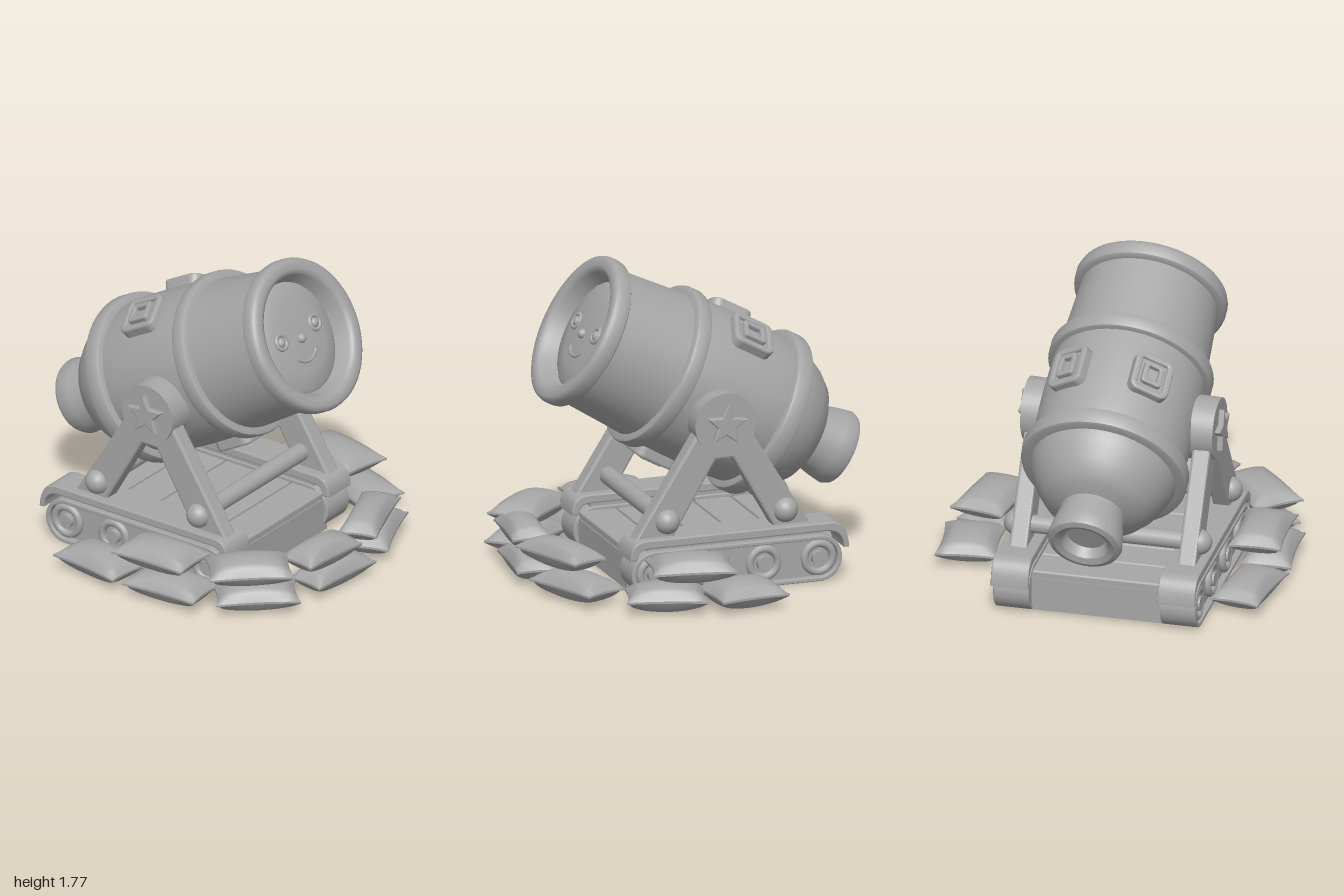
import * as THREE from 'three';
import { toCreasedNormals } from 'three/addons/utils/BufferGeometryUtils.js';
import { RoundedBoxGeometry } from 'three/addons/geometries/RoundedBoxGeometry.js';

const clay = new THREE.MeshStandardMaterial({ color: 0xa6a6a6 });
clay.name = 'clay grey';
const MID = 0.07; // z of the carriage centre line

function add(parent, name, geometry, x = 0, y = 0, z = 0) {
  const mesh = new THREE.Mesh(geometry, clay);
  mesh.name = name;
  mesh.position.set(x, y, z);
  parent.add(mesh);
  return mesh;
}

const lathe = (points) => toCreasedNormals(
  new THREE.LatheGeometry(points.map(([r, y]) => new THREE.Vector2(r, y)), 56), 0.7);

// Extrusion centred on z = 0, with a small rounded edge
function slab(shape, depth, bevel = 0.01) {
  const geo = new THREE.ExtrudeGeometry(shape, {
    depth: depth - 2 * bevel, bevelEnabled: bevel > 0, bevelSize: bevel,
    bevelThickness: bevel, bevelOffset: -bevel, bevelSegments: 2, curveSegments: 16,
  });
  return geo.translate(0, 0, -depth / 2 + bevel);
}

const polygon = (points) => new THREE.Shape(points.map(([x, y]) => new THREE.Vector2(x, y)));

function roundRect(w, h, r, Kind = THREE.Shape) {
  const s = new Kind(), x = w / 2, y = h / 2;
  s.absarc(x - r, y - r, r, 0, Math.PI / 2);
  s.absarc(-x + r, y - r, r, Math.PI / 2, Math.PI);
  s.absarc(-x + r, -y + r, r, Math.PI, Math.PI * 1.5);
  s.absarc(x - r, -y + r, r, Math.PI * 1.5, Math.PI * 2);
  s.closePath();
  return s;
}

function frameShape(w, h, r, t) {
  const s = roundRect(w, h, r);
  s.holes.push(roundRect(w - 2 * t, h - 2 * t, Math.max(r - t, 0.008), THREE.Path));
  return s;
}

// Rounded hoop around the barrel
function hoop(rIn, rOut, y0, y1) {
  const b = 0.02;
  return lathe([[rIn, y0], [rOut - b, y0], [rOut - 0.006, y0 + 0.006], [rOut, y0 + b],
    [rOut, y1 - b], [rOut - 0.006, y1 - 0.006], [rOut - b, y1], [rIn, y1]]);
}

// Barrel is built along local y; local -x faces upward
function buildBarrel() {
  const g = new THREE.Group();
  g.name = 'barrel';
  add(g, 'barrelBody', lathe([[0.17, -0.98], [0.24, -0.955], [0.295, -0.92], [0.35, -0.85], [0.395, -0.76],
    [0.42, -0.66], [0.433, -0.5], [0.437, -0.3], [0.432, -0.1], [0.42, 0], [0.405, 0.2], [0.385, 0.5]]));
  add(g, 'breechKnob', lathe([[0, -1.13], [0.11, -1.13], [0.135, -1.185], [0.17, -1.2], [0.2, -1.19],
    [0.21, -1.165], [0.2, -1.1], [0.182, -1.02], [0.175, -0.95]]));
  add(g, 'rearBand', hoop(0.38, 0.468, -0.71, -0.605));
  add(g, 'middleBand', hoop(0.38, 0.462, -0.05, 0.045));
  add(g, 'muzzleRing', lathe([[0.37, 0.455], [0.41, 0.455], [0.425, 0.465], [0.43, 0.485], [0.43, 0.525],
    [0.422, 0.547], [0.405, 0.557], [0.365, 0.557], [0.345, 0.548], [0.335, 0.53], [0.31, 0.45]]));
  add(g, 'muzzlePlug', lathe([[0.32, 0.44], [0.29, 0.465], [0.2, 0.48], [0.1, 0.486], [0, 0.488]]));

  // Face on the plug
  for (const z of [0.155, -0.155]) {
    add(g, 'eyeRing', new THREE.TorusGeometry(0.04, 0.012, 8, 20).rotateX(Math.PI / 2), -0.025, 0.484, z);
    add(g, 'eye', new THREE.SphereGeometry(0.028, 16, 10).scale(1, 0.7, 1), -0.025, 0.484, z);
  }
  add(g, 'nose', new THREE.SphereGeometry(0.028, 16, 12), 0.01, 0.49, 0);
  add(g, 'smile', new THREE.TorusGeometry(0.11, 0.01, 8, 20, 1.7).rotateZ(-0.85).rotateX(Math.PI / 2),
    0.03, 0.482, 0);

  // Two raised buckles on top and one underneath
  for (const [angle, y] of [[Math.PI - 0.54, -0.31], [Math.PI + 0.54, -0.31], [0, -0.2]]) {
    const buckle = new THREE.Group();
    buckle.name = 'buckle';
    buckle.rotation.y = angle;
    add(buckle, 'bucklePlate', new RoundedBoxGeometry(0.07, 0.22, 0.2, 2, 0.02), 0.425, y, 0);
    add(buckle, 'buckleFrame', slab(frameShape(0.23, 0.25, 0.05, 0.04), 0.09, 0.012).rotateY(Math.PI / 2), 0.435, y, 0);
    add(buckle, 'buckleCentre', slab(frameShape(0.12, 0.14, 0.02, 0.03), 0.08, 0.008).rotateY(Math.PI / 2), 0.45, y, 0);
    g.add(buckle);
  }
  g.rotation.z = -61.3 * Math.PI / 180;
  g.position.set(0.15, 1.135, 0.06);
  g.scale.z = 0.98;
  return g;
}

// Trunnion, A-frame, fender and track for one side
function buildSide(side) {
  const g = new THREE.Group();
  g.name = side > 0 ? 'frontSide' : 'rearSide';
  const at = (offset) => MID + side * offset;

  add(g, 'supportLegs', slab(polygon([[-0.55, 0.31], [-0.34, 0.31], [-0.1, 0.73], [0, 0.73], [0.25, 0.31],
    [0.47, 0.31], [0.11, 0.88], [0.05, 0.98], [-0.15, 0.98], [-0.2, 0.88]]), 0.1, 0.015), 0, 0, at(0.47));
  add(g, 'trunnion', new THREE.CylinderGeometry(0.17, 0.175, 0.15, 40).rotateX(Math.PI / 2), -0.05, 0.93, at(0.46));
  const star = [];
  for (let i = 0; i < 10; i++) {
    const a = Math.PI / 2 + i * Math.PI / 5 + 0.08, r = i % 2 ? 0.055 : 0.12;
    star.push([r * Math.cos(a), r * Math.sin(a)]);
  }
  add(g, 'star', slab(polygon(star), 0.05, 0.008), -0.05, 0.93, at(0.54));
  for (const x of [-0.4, 0.28]) add(g, 'bolt', new THREE.SphereGeometry(0.07, 24, 16), x, 0.41, at(0.51));

  const fender = new THREE.Shape();
  fender.moveTo(-0.75, 0.18);
  fender.quadraticCurveTo(-0.74, 0.33, -0.64, 0.33);
  fender.lineTo(0.42, 0.33);
  fender.quadraticCurveTo(0.51, 0.33, 0.51, 0.22);
  fender.lineTo(0.47, 0.22);
  fender.quadraticCurveTo(0.47, 0.28, 0.4, 0.28);
  fender.lineTo(-0.62, 0.28);
  fender.quadraticCurveTo(-0.71, 0.28, -0.72, 0.18);
  add(g, 'fender', slab(fender, 0.21, 0.008), 0, 0, at(0.465));

  add(g, 'trackBelt', slab(frameShape(1.21, 0.26, 0.13, 0.025), 0.2, 0.006), -0.105, 0.13, at(0.465));
  add(g, 'trackCore', slab(roundRect(1.18, 0.23, 0.115), 0.16, 0), -0.105, 0.13, at(0.45));
  add(g, 'fenderMount', new THREE.BoxGeometry(1, 0.08, 0.15), -0.1, 0.26, at(0.45));
  for (const x of [-0.58, -0.265, 0.05, 0.365]) {
    add(g, 'wheelRim', new THREE.TorusGeometry(0.08, 0.022, 10, 28), x, 0.13, at(0.54));
    add(g, 'wheelHub', new THREE.CylinderGeometry(0.04, 0.04, 0.06, 20).rotateX(Math.PI / 2), x, 0.13, at(0.535));
  }
  return g;
}

// Pillow: a box squeezed to a thin seam, with sides drawn in between the corners
function pillow(length, width, height) {
  const geo = new THREE.BoxGeometry(2, 2, 2, 14, 1, 10);
  const p = geo.attributes.position;
  for (let i = 0; i < p.count; i++) {
    const u = p.getX(i), v = p.getZ(i);
    const swell = Math.pow((1 - u * u) * (1 - v * v), 0.45);
    p.setXYZ(i, u * length / 2 * (1 - 0.07 * (1 - v * v)),
      Math.sign(p.getY(i)) * (0.006 + (height / 2 - 0.006) * swell),
      v * width / 2 * (1 - 0.1 * (1 - u * u)));
  }
  geo.computeVertexNormals();
  return geo;
}

function buildSandbags() {
  const g = new THREE.Group();
  g.name = 'sandbags';
  // x, z, heading in degrees, length, width
  const lower = [[-0.21, 0.81, -8, 0.45, 0.28], [0.27, 0.82, 4, 0.46, 0.28], [0.7, 0.63, 42, 0.46, 0.28],
    [0.87, 0.16, 84, 0.46, 0.22], [0.77, -0.36, 113, 0.48, 0.26], [0.39, -0.73, -17, 0.44, 0.29],
    [-0.03, -0.79, 6, 0.4, 0.34]];
  const upper = [[0.18, 0.79, 2, 0.46, 0.29], [0.67, 0.65, 42, 0.46, 0.29], [0.86, 0.25, 84, 0.42, 0.22],
    [0.82, -0.24, 111, 0.5, 0.22], [0.245, -0.73, -11, 0.46, 0.31]];
  [[lower, 0.082], [upper, 0.232]].forEach(([row, y]) => {
    for (const [x, z, deg, length, width] of row) {
      add(g, 'sandbag', pillow(length, width, 0.162), x, y, z).rotation.y = deg * Math.PI / 180;
    }
  });
  return g;
}

export function createModel() {
  const model = new THREE.Group();
  model.name = 'mortarCannon';
  model.add(buildBarrel(), buildSide(1), buildSide(-1), buildSandbags());

  // Deck between the tracks, planks and cross bars
  add(model, 'deck', new THREE.BoxGeometry(1.1, 0.19, 0.8), -0.08, 0.105, MID);
  for (let i = 0; i < 5; i++) {
    add(model, 'plank', new RoundedBoxGeometry(0.21, 0.05, 0.78, 2, 0.012), -0.52 + i * 0.22, 0.215, MID);
  }
  for (const x of [-0.4, 0.28]) {
    add(model, 'crossBar', new THREE.CylinderGeometry(0.05, 0.05, 0.98, 20).rotateX(Math.PI / 2), x, 0.41, MID);
  }
  return model;
}
